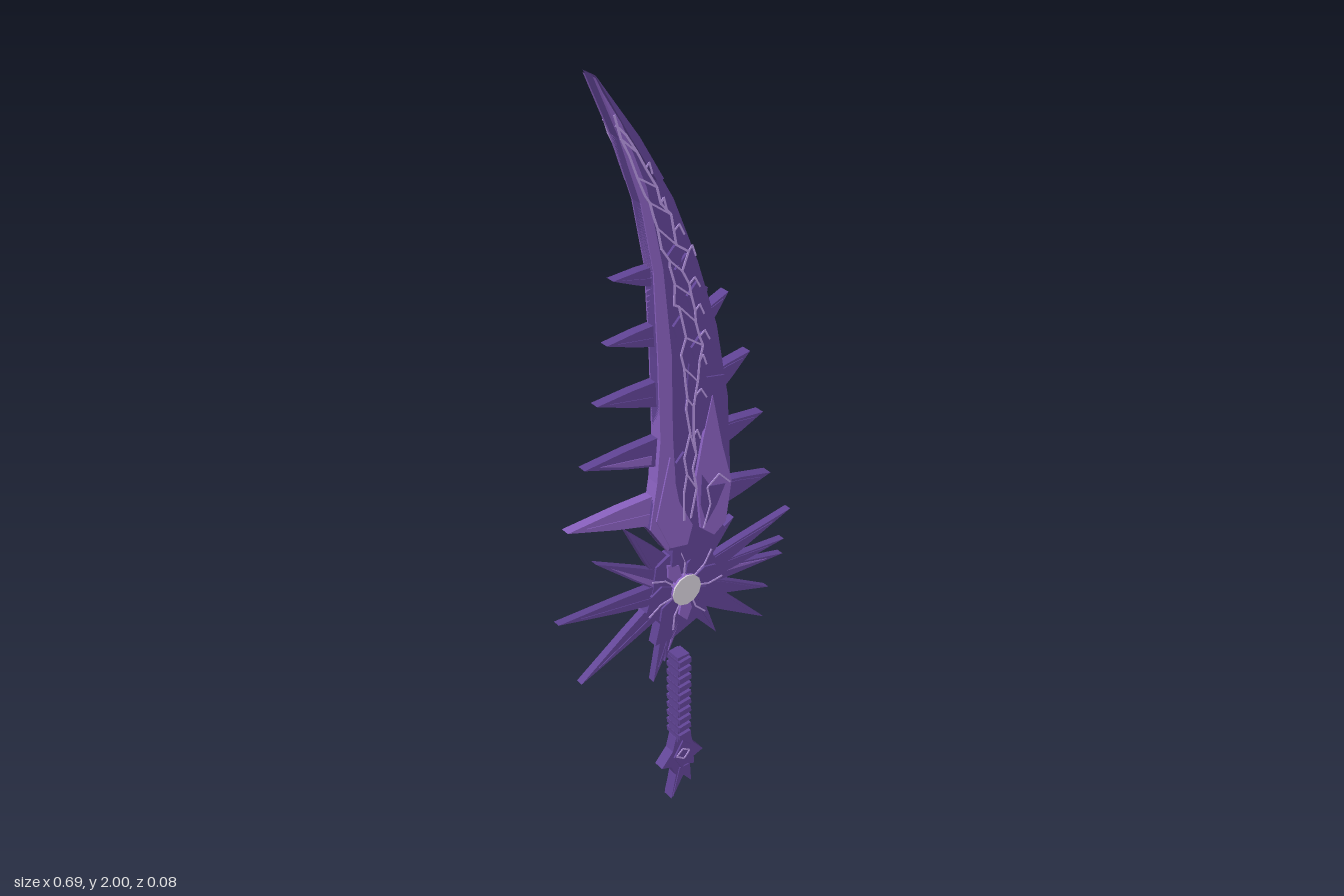
import * as THREE from 'three';

const material = (name, color) => Object.assign(new THREE.MeshStandardMaterial({ color }), { name });
const purple = material('purple', 0x614496);
const light = material('light purple', 0x8b62c2);
const vein = material('pale lilac', 0xb797e2);
const grey = material('pale grey', 0xd6d0da);

// Flat slab: an outline in x, y extruded from z0 to z1
function slab(parent, name, pts, z0, z1, mat) {
  const shape = new THREE.Shape(pts.map(([x, y]) => new THREE.Vector2(x, y)));
  const geo = new THREE.ExtrudeGeometry(shape, { depth: z1 - z0, bevelEnabled: false });
  geo.translate(0, 0, z0);
  const mesh = new THREE.Mesh(geo, mat);
  mesh.name = name;
  parent.add(mesh);
}

// Tapered spike from a base point to a tip, with a thin raised facet on both faces
function spike(parent, name, base, tip, width, z0, z1, body, facet) {
  const a = new THREE.Vector2(...base), t = new THREE.Vector2(...tip);
  const d = t.clone().sub(a), n = new THREE.Vector2(-d.y, d.x).normalize().multiplyScalar(width / 2);
  const at = (f, s) => [a.x + d.x * f + n.x * s, a.y + d.y * f + n.y * s];
  slab(parent, name, [at(0, -1), at(0.45, -0.62), tip, at(0.45, 0.62), at(0, 1)], z0, z1, body);
  slab(parent, name + 'Facet', [at(0.1, 0.15), at(0.8, 0), at(0.45, 0.45), at(0.1, 0.75)], z0 - 0.002, z1 + 0.002, facet);
}

// Thin crack lines along a list of points, on both faces
function cracks(parent, name, pts, z0, z1, w = 0.005) {
  for (let i = 0; i + 1 < pts.length; i++) {
    const [ax, ay] = pts[i], [bx, by] = pts[i + 1];
    const len = Math.hypot(bx - ax, by - ay), nx = -(by - ay) / len * w / 2, ny = (bx - ax) / len * w / 2;
    const quad = [[ax - nx, ay - ny], [bx - nx, by - ny], [bx + nx, by + ny], [ax + nx, ay + ny]];
    slab(parent, name, quad, z0 - 0.002, z0, vein);
    slab(parent, name, quad, z1, z1 + 0.002, vein);
  }
}

let seed = 7;
const rand = () => (seed = (seed * 16807) % 2147483647) / 2147483647;

function group(root, name) {
  const g = new THREE.Group();
  g.name = name;
  root.add(g);
  return g;
}

function createModel() {
  const root = new THREE.Group();
  root.name = 'spikedSword';

  // Curved blade: outer edge from the tip down, then inner edge back up
  const blade = group(root, 'blade');
  slab(blade, 'bladeCore', [[-0.225, 2], [-0.12, 1.855], [-0.03, 1.7], [0.035, 1.54], [0.09, 1.37], [0.125, 1.18], [0.137, 0.97], [0.125, 0.865],
    [0.09, 0.81], [0.01, 0.8], [-0.05, 0.82], [-0.1, 0.9], [-0.08, 1.02], [-0.07, 1.13], [-0.075, 1.34], [-0.085, 1.55], [-0.115, 1.71],
    [-0.165, 1.86]], 0, 0.027, purple);

  // Pale cutting bevel along the inner edge
  slab(blade, 'innerBevel', [[-0.215, 1.98], [-0.165, 1.86], [-0.115, 1.71], [-0.085, 1.55], [-0.075, 1.34], [-0.07, 1.13], [-0.08, 1.02], [-0.1, 0.9],
    [-0.05, 0.82], [-0.02, 0.88], [-0.035, 1.13], [-0.038, 1.34], [-0.06, 1.55], [-0.1, 1.74], [-0.16, 1.89]], -0.004, 0.031, light);

  // Thicker rim at the tip
  slab(blade, 'tipRim', [[-0.222, 2], [-0.12, 1.855], [-0.06, 1.752], [-0.078, 1.752], [-0.14, 1.855]], -0.008, 0.036, purple);
  slab(blade, 'tipSpine', [[-0.222, 1.995], [-0.165, 1.86], [-0.128, 1.752], [-0.118, 1.752], [-0.157, 1.86]], -0.008, 0.036, light);

  // Layered plates near the base
  slab(blade, 'basePlate', [[0.075, 1.2], [0.105, 1.06], [0.135, 0.95], [0.12, 0.84], [0.085, 0.815], [0.045, 0.85], [0.03, 1.0], [0.05, 1.1]], -0.008, 0.035, light);
  slab(blade, 'basePlateInset', [[0.045, 1.0], [0.07, 0.96], [0.115, 0.95], [0.09, 0.9], [0.06, 0.86], [0.042, 0.92]], -0.01, 0.037, purple);
  cracks(blade, 'basePlateCrack', [[0.05, 0.85], [0.07, 0.91], [0.06, 0.96], [0.095, 0.985], [0.128, 0.95]], -0.01, 0.037, 0.004);
  slab(blade, 'innerBasePlate', [[-0.045, 1.08], [-0.085, 0.92], [-0.045, 0.83], [0.005, 0.82], [0.02, 0.87], [-0.02, 0.95]], -0.008, 0.035, light);
  slab(blade, 'midPlate', [[0.01, 1.3], [0.06, 1.25], [0.11, 1.24], [0.075, 1.14], [0.035, 1.1], [0, 1.18]], -0.005, 0.032, purple);

  // Raised shards between the cracks
  [[0, 1.53, 0.03], [0.03, 1.46, 0.028], [0.045, 1.33, 0.03], [-0.015, 1.4, 0.02], [-0.03, 1.57, 0.02], [-0.005, 1.05, 0.022]].forEach(([x, y, r]) =>
    slab(blade, 'shard', [[x - r, y + r * 0.3], [x, y + r * 1.3], [x + r, y + r * 0.5], [x + r * 0.7, y - r], [x - r * 0.5, y - r * 1.2]], -0.006, 0.034, purple));

  // Two wandering cracks down the middle, linked into cells
  const spine = new THREE.CatmullRomCurve3([[-0.18, 1.9], [-0.075, 1.7], [-0.02, 1.54], [0.012, 1.37], [0.015, 1.18], [0.01, 0.9]]
    .map(([x, y]) => new THREE.Vector3(x, y, 0)));
  const strands = [[], []];
  for (let i = 0; i < 26; i++) {
    const p = spine.getPoint(i / 25), room = Math.min(0.034, 0.006 + i * 0.0035) * (i > 17 ? 0.6 : 1);
    strands.forEach((s, k) => s.push([p.x + (k ? 1 : -1) * room * (0.15 + rand() * 0.85), p.y + (rand() - 0.5) * 0.03]));
  }
  strands.forEach((s) => cracks(blade, 'crack', s, -0.007, 0.035));
  for (let i = 1; i < 24; i += 2) cracks(blade, 'crackLink', [strands[0][i], strands[1][i + 1]], -0.007, 0.035, 0.004);
  for (let i = 3; i < 22; i += 2) {
    const [x, y] = strands[1][i], r = 0.015 + rand() * 0.02;
    cracks(blade, 'crackBranch', [[x, y], [x + r * 0.5, y + 0.012], [x + r, y - 0.015]], -0.007, 0.035, 0.004);
  }

  // Spikes along both edges of the blade
  const bladeSpikes = group(root, 'bladeSpikes');
  [[-0.18, 1.55, 1.53, 0.05], [-0.2, 1.405, 1.39, 0.055], [-0.23, 1.268, 1.245, 0.065], [-0.268, 1.12, 1.095, 0.075], [-0.318, 0.975, 0.94, 0.085]]
    .forEach(([x, y, by, w], i) => spike(bladeSpikes, 'innerSpike', [-0.065, by], [x, y], w, -0.005, 0.019, i === 4 ? light : purple, i > 2 ? light : purple));
  [[0.128, 1.437, 0.05, 1.375, 0.05], [0.195, 1.268, 0.09, 1.215, 0.065], [0.24, 1.092, 0.1, 1.07, 0.065], [0.27, 0.912, 0.1, 0.91, 0.075]]
    .forEach(([x, y, bx, by, w]) => spike(bladeSpikes, 'outerSpike', [bx, by], [x, y], w, -0.008, 0.019, purple, purple));

  // Guard: ragged plate ringed by long thorns
  const guard = group(root, 'guard');
  const cx = 0.01, cy = 0.68;
  slab(guard, 'guardPlate', [[-0.03, 0.79], [0.02, 0.78], [0.1, 0.83], [0.09, 0.76], [0.12, 0.7], [0.1, 0.63], [0.06, 0.57], [-0.02, 0.54], [-0.075, 0.54],
    [-0.06, 0.6], [-0.1, 0.65], [-0.08, 0.71], [-0.07, 0.77]], -0.016, 0.012, purple);
  slab(guard, 'bladeSocket', [[-0.03, 0.76], [-0.025, 0.86], [0.02, 0.84], [0.1, 0.86], [0.135, 0.8], [0.08, 0.76]], -0.012, 0.02, purple);
  [[-0.15, 0.905, 0.07], [-0.238, 0.85, 0.055], [-0.348, 0.728, 0.06], [-0.288, 0.52, 0.06], [-0.078, 0.425, 0.06], [-0.045, 0.475, 0.05], [0.12, 0.488, 0.06],
    [0.273, 0.467, 0.065], [0.285, 0.558, 0.05], [0.333, 0.638, 0.05], [0.333, 0.685, 0.045], [0.347, 0.772, 0.055], [0.17, 0.815, 0.06]]
    .forEach(([x, y, w], i) => {
      const dx = x - cx, dy = y - cy, l = Math.hypot(dx, dy);
      const z = (i % 3) * 0.003;
      spike(guard, 'guardThorn', [cx + dx / l * 0.05, cy + dy / l * 0.05], [x, y], w, -0.016 + z, 0.004 + z, purple, i % 4 === 1 ? light : purple);
    });

  // Raised facets and cracks around the hub
  for (let i = 0; i < 7; i++) {
    const a = i / 7 * Math.PI * 2 + 0.3, p = (r, o) => [cx + Math.cos(a + o) * r, cy + Math.sin(a + o) * r];
    slab(guard, 'hubFacet', [p(0.03, -0.3), p(0.075, -0.3), p(0.1, 0), p(0.07, 0.25), p(0.03, 0.3)], -0.022, 0.018, i % 3 === 2 ? light : purple);
    cracks(guard, 'hubCrack', [p(0.04, 0.45), p(0.075, 0.38), p(0.115, 0.5)], -0.022, 0.018, 0.004);
  }

  // Lilac hub with a round grey cap on both faces
  const disc = (name, depth, mat, z) => {
    const mesh = new THREE.Mesh(new THREE.CylinderGeometry(0.042, 0.042, depth, 12).rotateX(Math.PI / 2), mat);
    mesh.name = name;
    mesh.position.set(cx, cy, z);
    guard.add(mesh);
  };
  disc('hub', 0.06, light, -0.006);
  disc('hubCapFront', 0.004, grey, 0.026);
  disc('hubCapBack', 0.004, grey, -0.038);

  // Ribbed grip
  const grip = group(root, 'grip');
  const block = (name, w, h, d, y, tilt) => {
    const mesh = new THREE.Mesh(new THREE.BoxGeometry(w, h, d), purple);
    mesh.name = name;
    mesh.position.set(0.01, y, -0.005);
    mesh.rotation.z = tilt;
    grip.add(mesh);
  };
  block('gripCore', 0.036, 0.275, 0.038, 0.332, 0);
  for (let i = 0; i < 10; i++) block('gripRib', 0.036, 0.016, 0.056, 0.215 + i * 0.0265, 0.1);

  // Clawed pommel
  const pommel = group(root, 'pommel');
  slab(pommel, 'pommelClaw', [[-0.01, 0.205], [-0.02, 0.165], [-0.055, 0.125], [-0.025, 0.115], [-0.01, 0.08], [-0.025, 0.005], [0.012, 0.07],
    [0.04, 0.035], [0.036, 0.095], [0.05, 0.09], [0.048, 0.115], [0.078, 0.125], [0.045, 0.165], [0.036, 0.205]], -0.021, 0.009, purple);
  slab(pommel, 'pommelPlate', [[0.01, 0.19], [-0.018, 0.145], [0.005, 0.1], [0.035, 0.12], [0.036, 0.165]], -0.027, 0.014, purple);
  cracks(pommel, 'pommelCrack', [[-0.012, 0.148], [0.008, 0.165], [0.03, 0.15], [0.012, 0.13], [-0.012, 0.148]], -0.027, 0.014, 0.004);
  slab(pommel, 'pommelFang', [[0, 0.1], [-0.022, 0.012], [0.014, 0.075], [0.03, 0.1]], -0.024, 0.012, purple);
  return root;
}

export { createModel };
